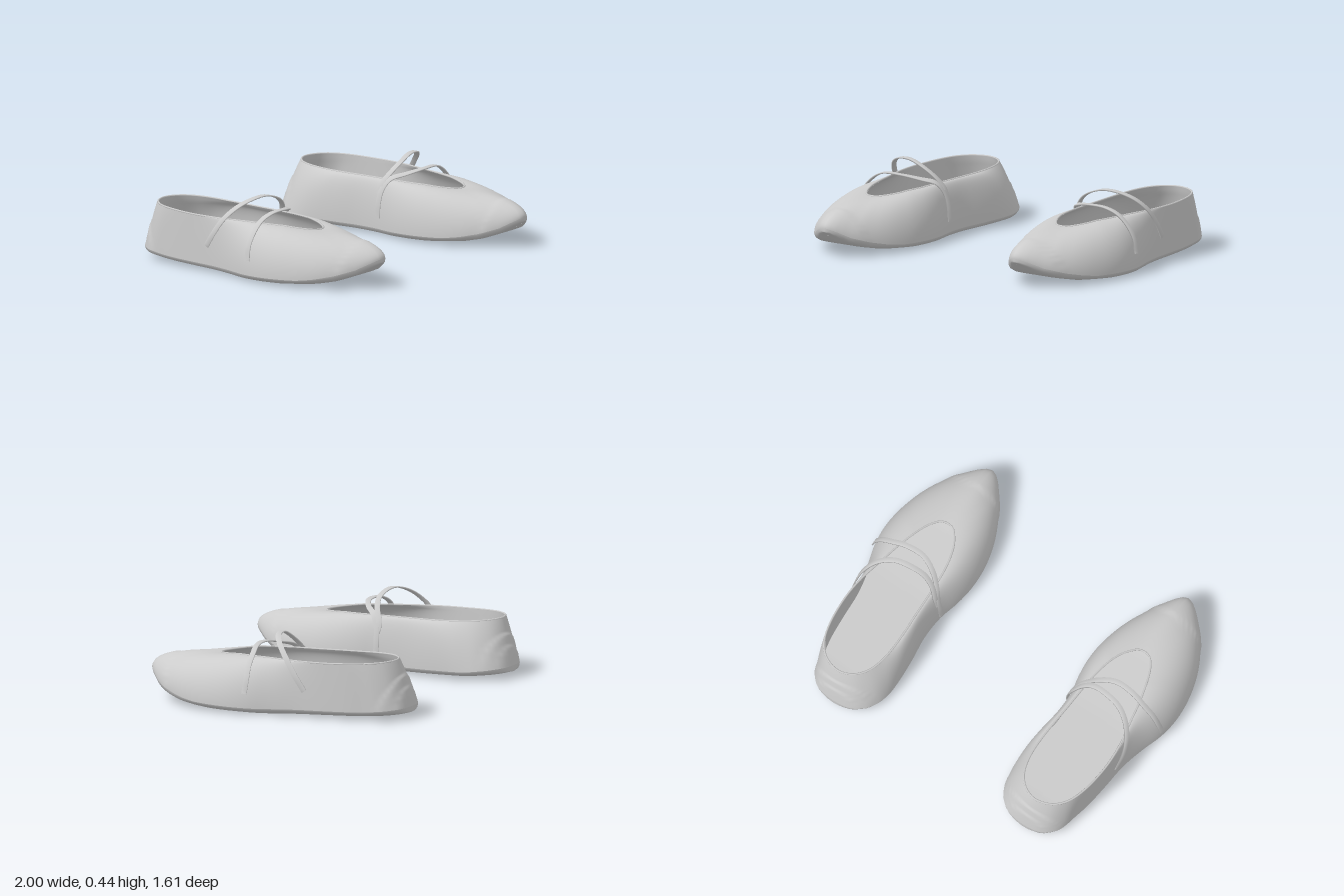
import * as THREE from 'three';

const COLS = 112;
const { lerp, clamp, smoothstep } = THREE.MathUtils;
const material = new THREE.MeshStandardMaterial({ color: 0xcccccc, side: THREE.DoubleSide });

// Outlines as [x, z], from toe tip along the outer side to the heel and back
const BASE = [[.67, .797], [.81, .70], [.89, .60], [.95, .48], [.99, .33], [1, .2], [.985, .08], [.945, -.05],
  [.912, -.2], [.9, -.35], [.885, -.5], [.865, -.6], [.845, -.69], [.78, -.77], [.65, -.797], [.52, -.77],
  [.44, -.69], [.415, -.6], [.413, -.5], [.425, -.35], [.445, -.2], [.44, -.05], [.41, .08], [.396, .2],
  [.403, .33], [.44, .48], [.495, .6], [.56, .70]];
const OPENING = [[.67, .37], [.71, .36], [.745, .325], [.775, .27], [.8, .2], [.82, .13], [.835, .07], [.855, -.03],
  [.885, -.17], [.897, -.3], [.892, -.42], [.875, -.53], [.84, -.63], [.775, -.7], [.675, -.73], [.59, -.7],
  [.53, -.63], [.5, -.53], [.492, -.42], [.495, -.3], [.503, -.17], [.51, -.03], [.517, .07], [.525, .13],
  [.54, .2], [.565, .27], [.6, .325], [.635, .36]];

const outline = (pts) => new THREE.CatmullRomCurve3(pts.map(([x, z]) => new THREE.Vector3(x, 0, z)), true);
const baseCurve = outline(BASE);
const openCurve = outline(OPENING);

// Heights along z as [z, y]
const table = (rows) => (z) => {
  const i = clamp(rows.findIndex((r) => r[0] >= z), 1, rows.length - 1);
  const k = rows.at(-1)[0] < z ? rows.length - 1 : i;
  const [a, b] = [rows[k - 1], rows[k]];
  return lerp(a[1], b[1], clamp((z - a[0]) / (b[0] - a[0]), 0, 1));
};
const soleY = table([[-.8, .037], [-.6, .02], [-.3, .01], [0, 0], [.3, .008], [.5, .025], [.6, .045], [.7, .083], [.8, .15]]);
const edgeY = table([[-.8, .07], [-.6, .05], [0, .035], [.4, .045], [.5, .058], [.6, .08], [.7, .115], [.8, .175]]);
const rimY = table([[-.73, .33], [-.4, .317], [0, .31], [.2, .304], [.3, .293], [.37, .285]]);

// Joins a list of closed rings, each a function of u
function loft(name, rings) {
  const pos = [], index = [];
  rings.forEach((ring, r) => {
    for (let c = 0; c < COLS; c++) {
      pos.push(...ring(c / COLS).toArray());
      if (r === rings.length - 1) continue;
      const a = r * COLS + c, a1 = r * COLS + (c + 1) % COLS;
      index.push(a, a1, a1 + COLS, a, a1 + COLS, a + COLS);
    }
  });
  return finish(name, pos, index);
}

function finish(name, pos, index) {
  const geo = new THREE.BufferGeometry();
  geo.setAttribute('position', new THREE.Float32BufferAttribute(pos, 3));
  geo.setIndex(index);
  geo.computeVertexNormals();
  const mesh = new THREE.Mesh(geo, material);
  mesh.name = name;
  return mesh;
}

// Moves p horizontally away from the shoe's spine
function push(p, d) {
  const dx = p.x - .67, dz = p.z - clamp(p.z, -.55, .35);
  const l = Math.hypot(dx, dz) || 1;
  p.x += d * dx / l;
  p.z += d * dz / l;
  return p;
}

// Point on the upper: s = 0 at the sole edge, 1 at the opening
function wall(u, s, inset = 0) {
  const b = baseCurve.getPoint(u), o = openCurve.getPoint(u);
  const flat = smoothstep(-b.z, .4, .75) * .8;
  const h = lerp(1 - Math.cos(s * Math.PI / 2), s, flat);
  const v = lerp(Math.sin(s * Math.PI / 2), s, flat);
  const y = lerp(edgeY(b.z), rimY(o.z), v);
  const p = b.lerp(o, h);
  p.y = y;
  if (inset) {
    p.y -= .012 * h * (1 - smoothstep(s, .9, 1));
    return push(p, -inset);
  }
  // Stepped heel patch and toe cap
  if (p.z < -.5) {
    const d = Math.hypot((p.x - .65) / .2, (y - .04) / .21);
    push(p, .007 * (1 - smoothstep(d, .94, 1.02)) + .006 * (1 - smoothstep(d, .62, .72)));
  }
  const cap = smoothstep(p.z + .25 * (.2 - Math.min(y, .2)), .635, .655);
  p.y += .007 * cap * s;
  return push(p, .005 * cap);
}

// Ring of the sole drawn in towards the centre line
const flatRing = (curvePoint, inset, height) => (u) => {
  const p = curvePoint(u), q = curvePoint((1 - u) % 1);
  p.x = lerp(p.x, (p.x + q.x) / 2, inset);
  p.y = height(p);
  return p;
};

// Flat band along a path, wrapped around the foot
function strap(name, points, width) {
  const curve = new THREE.CatmullRomCurve3(points.map((p) => new THREE.Vector3(...p)));
  const n = 48, pos = [], index = [];
  for (let i = 0; i <= n; i++) {
    const p = curve.getPointAt(i / n), t = curve.getTangentAt(i / n);
    const out = new THREE.Vector3(p.x - .69, p.y - .14, 0).normalize();
    const side = new THREE.Vector3().crossVectors(t, out).normalize();
    out.crossVectors(side, t).normalize();
    for (const [a, b] of [[-1, -1], [1, -1], [1, 1], [-1, 1]]) {
      pos.push(...p.clone().addScaledVector(side, a * width / 2).addScaledVector(out, b * .004).toArray());
    }
    if (i === n) continue;
    for (let k = 0; k < 4; k++) {
      const a = i * 4 + k, b = i * 4 + (k + 1) % 4;
      index.push(a, b + 4, b, a, a + 4, b + 4);
    }
  }
  return finish(name, pos, index);
}

function makeShoe(name) {
  const shoe = new THREE.Group();
  shoe.name = name;
  const steps = (n, f) => Array.from({ length: n + 1 }, (_, i) => f(i / n));
  const edge = (u) => wall(u, 0);

  // Sole: flat underside with a rolled edge
  shoe.add(loft('sole', [
    flatRing(edge, 1, (p) => soleY(p.z)),
    flatRing(edge, .5, (p) => soleY(p.z)),
    flatRing(edge, .2, (p) => soleY(p.z) + .002),
    flatRing(edge, .07, (p) => lerp(soleY(p.z), edgeY(p.z), .3)),
    flatRing(edge, .015, (p) => lerp(soleY(p.z), edgeY(p.z), .7)),
    edge,
  ]));

  // Upper, its lining and the insole
  shoe.add(loft('upper', steps(36, (s) => (u) => wall(u, s))));
  shoe.add(loft('lining', steps(16, (s) => (u) => wall(u, 1 - s * .96, .012))));
  const foot = (u) => wall(u, .04, .012);
  shoe.add(loft('insole', [0, .5, 1].map((k) => flatRing(foot, k, (p) => edgeY(p.z) + .015))));

  // Binding around the opening
  const rim = new THREE.CatmullRomCurve3(steps(55, (k) => push(wall(k * 55 / 56, 1), -.005)), true);
  const binding = new THREE.Mesh(new THREE.TubeGeometry(rim, 112, .006, 6, true), material);
  binding.name = 'binding';
  shoe.add(binding);

  // Crossed straps, meeting on the inner side
  shoe.add(strap('frontStrap', [[.987, .12, .08], [.968, .2, .075], [.928, .27, .08], [.86, .33, .085], [.78, .362, .1],
    [.66, .365, .103], [.56, .345, .055], [.495, .32, -.005], [.462, .26, -.04], [.441, .18, -.05], [.433, .1, -.05]], .03));
  shoe.add(strap('backStrap', [[.912, .15, -.26], [.916, .24, -.2], [.9, .32, -.145], [.85, .39, -.08], [.77, .428, -.03],
    [.68, .433, -.01], [.58, .40, 0], [.515, .35, -.02], [.475, .29, -.05], [.455, .23, -.055]], .03));
  return shoe;
}

export function createModel() {
  const model = new THREE.Group();
  model.name = 'balletSlippers';
  const left = makeShoe('leftShoe');
  const right = makeShoe('rightShoe');
  right.scale.x = -1;
  model.add(left, right);
  return model;
}
